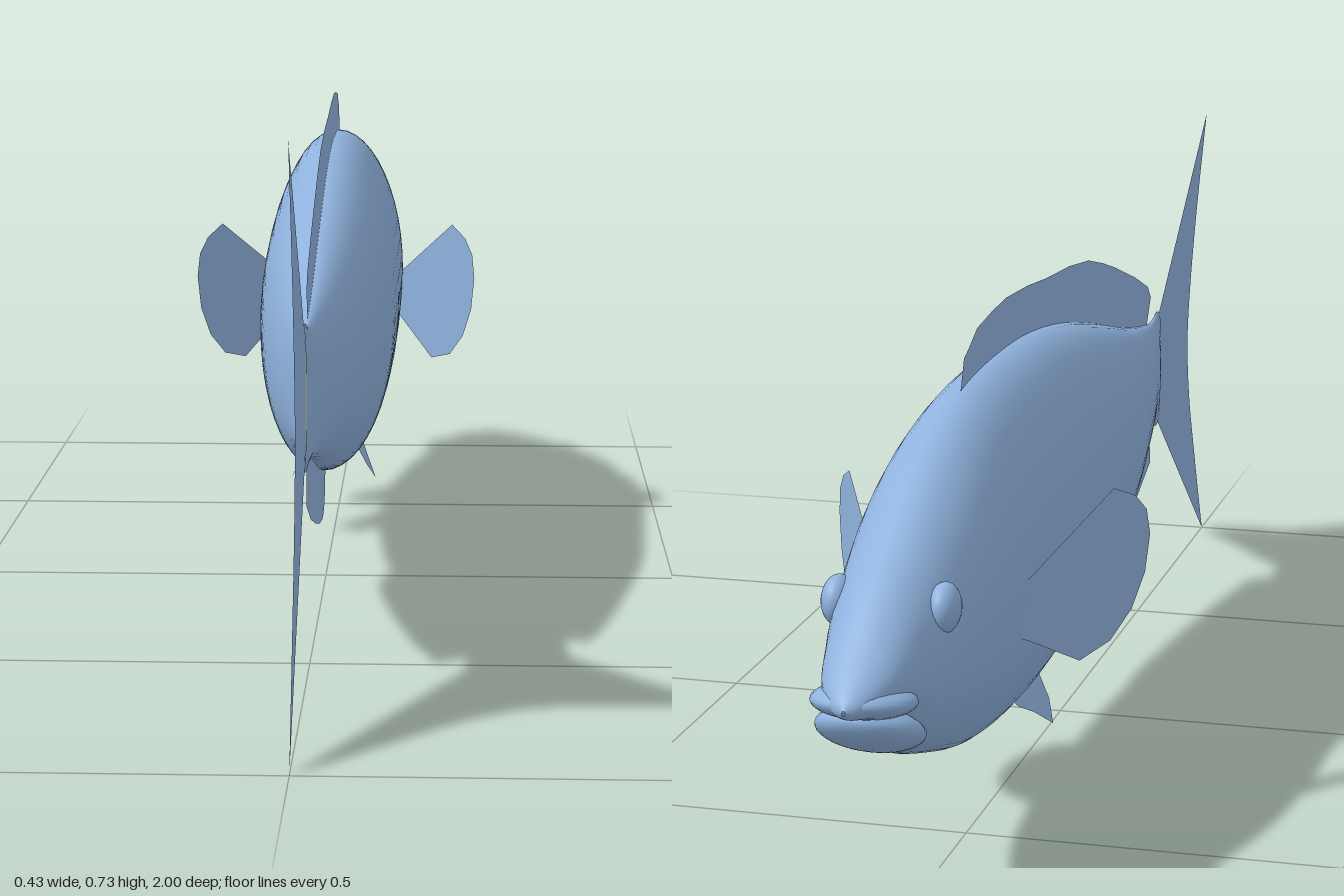
import * as THREE from 'three';

const skin = new THREE.MeshStandardMaterial({ color: 0x8fb2dd });
skin.name = 'blue skin';
const finSkin = new THREE.MeshStandardMaterial({ color: 0x8fb2dd, side: THREE.DoubleSide });
finSkin.name = 'blue fin';

// Stations from nose to tail: z, top y, bottom y, half width
const STATIONS = [
  [-1.0, 0.338, 0.332, 0.002], [-0.985, 0.355, 0.322, 0.022], [-0.94, 0.39, 0.306, 0.046],
  [-0.88, 0.435, 0.27, 0.062], [-0.82, 0.472, 0.225, 0.077], [-0.7, 0.54, 0.183, 0.094],
  [-0.6, 0.58, 0.155, 0.099], [-0.48, 0.602, 0.137, 0.1], [-0.34, 0.608, 0.13, 0.1],
  [-0.18, 0.602, 0.138, 0.099], [0, 0.578, 0.156, 0.094], [0.2, 0.535, 0.196, 0.077],
  [0.4, 0.486, 0.247, 0.048], [0.55, 0.458, 0.279, 0.022], [0.6, 0.457, 0.281, 0.013],
  [0.625, 0.464, 0.276, 0.007], [0.645, 0.458, 0.284, 0.003],
];

// Elliptical rings lofted smoothly through the stations
function bodyGeometry(rings = 96, sides = 48) {
  const profile = new THREE.CatmullRomCurve3(
    STATIONS.map(([z, t, b]) => new THREE.Vector3(z, t, b)), false, 'catmullrom', 0.5);
  const width = new THREE.CatmullRomCurve3(
    STATIONS.map((s) => new THREE.Vector3(s[3], 0, 0)), false, 'catmullrom', 0.5);
  const pos = [], index = [];
  for (let i = 0; i <= rings; i++) {
    const p = profile.getPoint(i / rings), w = width.getPoint(i / rings).x;
    for (let j = 0; j < sides; j++) {
      const a = (j / sides) * Math.PI * 2;
      pos.push(w * Math.sin(a), (p.y + p.z) / 2 + ((p.y - p.z) / 2) * Math.cos(a), p.x);
      if (i === rings) continue;
      const k = i * sides + j, n = i * sides + ((j + 1) % sides);
      index.push(k, k + sides, n, n, k + sides, n + sides);
    }
  }
  const g = new THREE.BufferGeometry();
  g.setAttribute('position', new THREE.Float32BufferAttribute(pos, 3));
  g.setIndex(index);
  g.computeVertexNormals();
  return g;
}

// Flat fin from a [z, y] outline; xAt gives the sideways offset of each point
function finGeometry(outline, xAt = () => 0) {
  const g = new THREE.ShapeGeometry(new THREE.Shape(outline.map(([z, y]) => new THREE.Vector2(z, y))));
  const p = g.attributes.position;
  for (let i = 0; i < p.count; i++) {
    const z = p.getX(i), y = p.getY(i);
    p.setXYZ(i, xAt(z, y), y, z);
  }
  g.computeVertexNormals();
  return g;
}

export function createModel() {
  const fish = new THREE.Group();
  fish.name = 'fish';
  const add = (name, geometry, material) => {
    const m = new THREE.Mesh(geometry, material);
    m.name = name;
    fish.add(m);
    return m;
  };
  const blob = (name, pos, size, tilt = 0) => {
    const m = add(name, new THREE.SphereGeometry(1, 28, 18), skin);
    m.position.set(...pos);
    m.scale.set(...size);
    m.rotation.x = tilt;
  };

  add('body', bodyGeometry(), skin);

  // Lips around the mouth slit
  blob('upperLip', [0, 0.326, -0.922], [0.063, 0.022, 0.072], 0.2);
  blob('lowerJaw', [0, 0.283, -0.9], [0.066, 0.027, 0.072], 0.46);

  // Forked tail with a curved trailing edge
  const fork = new THREE.CatmullRomCurve3([
    [1, 0.727], [0.925, 0.57], [0.88, 0.45], [0.864, 0.365], [0.88, 0.27], [0.93, 0.15], [1, 0],
  ].map(([z, y]) => new THREE.Vector3(z, y, 0))).getPoints(30).map((p) => [p.x, p.y]);
  add('tailFin', finGeometry([[0.61, 0.435], ...fork, [0.61, 0.3]]), finSkin);

  // Long back fin, its base sunk into the body
  add('dorsalFin', finGeometry([
    [0.54, 0.44], [0.565, 0.475], [0.58, 0.497], [0.558, 0.518], [0.465, 0.552], [0.33, 0.594],
    [0.25, 0.616], [0.166, 0.636], [0.05, 0.65], [-0.075, 0.658], [-0.18, 0.668], [-0.29, 0.674],
    [-0.36, 0.67], [-0.43, 0.663], [-0.47, 0.645], [-0.492, 0.637], [-0.51, 0.595], [-0.4, 0.57],
    [-0.1, 0.56], [0.2, 0.5], [0.4, 0.455],
  ]), finSkin);

  // Fin under the tail
  add('analFin', finGeometry([
    [0.55, 0.3], [0.578, 0.268], [0.585, 0.226], [0.465, 0.182], [0.305, 0.142], [0.2, 0.12],
    [0.117, 0.108], [0.08, 0.109], [0.045, 0.12], [0.02, 0.16], [0.05, 0.2], [0.3, 0.26],
  ]), finSkin);

  // Paired fins and eyes
  for (const [side, s] of [['left', 1], ['right', -1]]) {
    add(side + 'PectoralFin', finGeometry([
      [-0.575, 0.385], [-0.555, 0.372], [-0.42, 0.46], [-0.385, 0.443], [-0.366, 0.42],
      [-0.36, 0.385], [-0.368, 0.335], [-0.39, 0.29], [-0.425, 0.256], [-0.475, 0.242],
      [-0.555, 0.29], [-0.575, 0.3],
    ], (z) => s * (0.098 + (z + 0.56) * 0.575)), finSkin);
    add(side + 'PelvicFin', finGeometry([
      [-0.39, 0.15], [-0.375, 0.136], [-0.335, 0.116], [-0.29, 0.086], [-0.262, 0.112],
      [-0.255, 0.145], [-0.275, 0.165],
    ], (z, y) => s * (0.064 - (y - 0.086) * 0.5)), finSkin);
    blob(side + 'Eye', [s * 0.066, 0.41, -0.812], [0.02, 0.031, 0.031]);
  }
  return fish;
}
